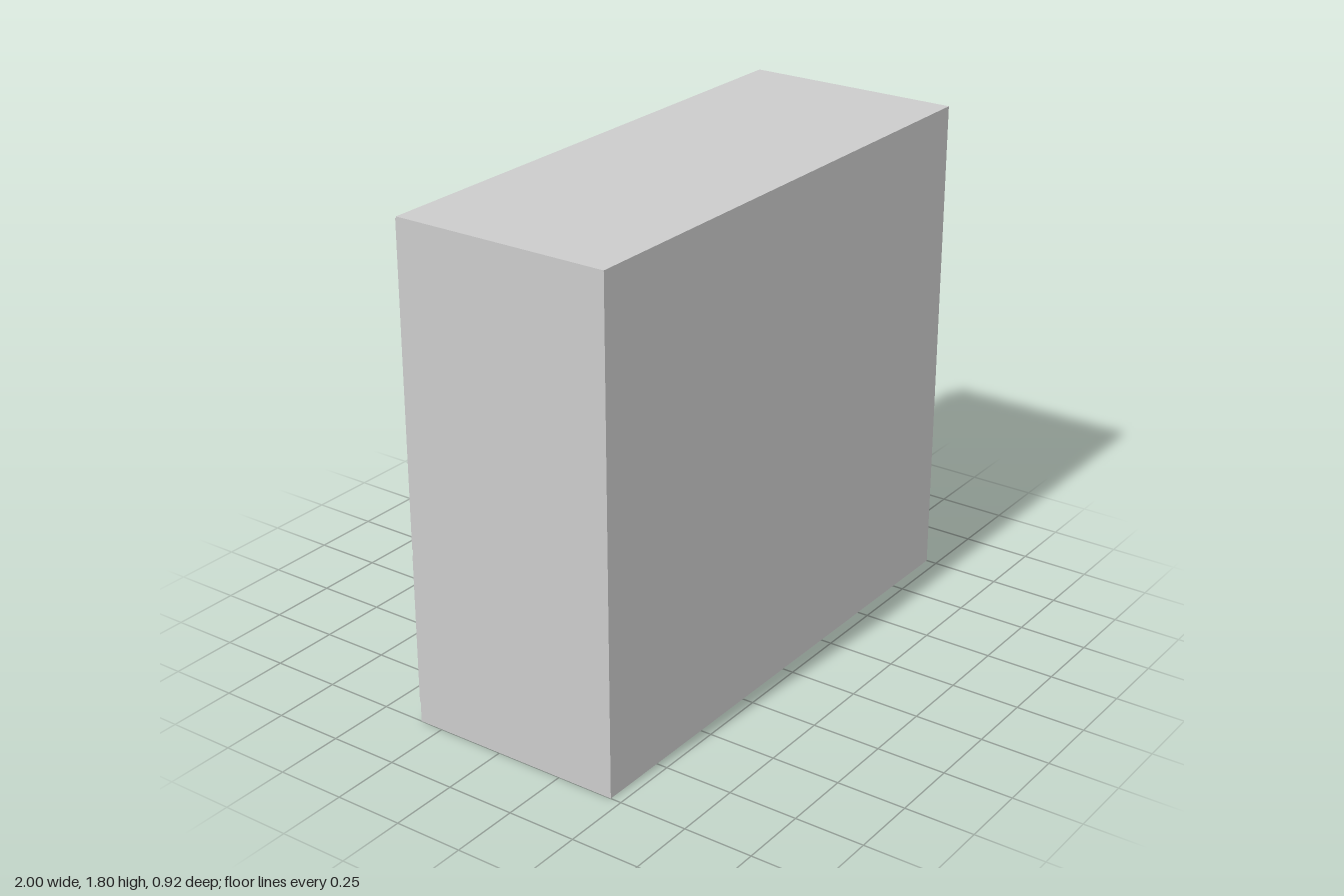
import * as THREE from 'three';

const material = new THREE.MeshStandardMaterial({ color: 0xcccccc, flatShading: true });

// Depth of the slightly slanted drawer face behind the centre, at a given x
const faceDepth = (x) => 0.372 - 0.0088 * x;

// Plan outline of [x, depth towards -z] points, raised from y0 to y1
function raisedPlan(name, points, y0, y1) {
  const shape = new THREE.Shape(points.map(([x, d]) => new THREE.Vector2(x, d)));
  const geometry = new THREE.ExtrudeGeometry(shape, { depth: y1 - y0, bevelEnabled: false });
  geometry.rotateX(-Math.PI / 2).translate(0, y0, 0);
  const mesh = new THREE.Mesh(geometry, material);
  mesh.name = name;
  return mesh;
}

function drawerFront(name, y0, y1) {
  const w = 0.96;
  return raisedPlan(name, [[-w, 0.34], [w, 0.34], [w, faceDepth(w)], [-w, faceDepth(-w)]], y0, y1);
}

// U-shaped pull: two legs and a bar, following the slant of the face
function handle(name, cx, y0, y1) {
  const outer = 0.118, inner = 0.083, reach = 0.082, bar = 0.018;
  const at = (dx, out) => [cx + dx, faceDepth(cx + dx) + out];
  return raisedPlan(name, [
    at(-outer, 0), at(-inner, 0), at(-inner, reach - bar), at(inner, reach - bar),
    at(inner, 0), at(outer, 0), at(outer, reach), at(-outer, reach),
  ], y0, y1);
}

export function createModel() {
  const group = new THREE.Group();
  group.name = 'drawerCabinet';

  // Cabinet body
  const body = new THREE.Mesh(new THREE.BoxGeometry(2, 1.8, 0.8), material);
  body.name = 'cabinetBody';
  body.position.set(0, 0.9, 0.06);
  group.add(body);

  // Drawer fronts
  group.add(drawerFront('upperDrawerFront', 0.622, 1.775));
  group.add(drawerFront('lowerDrawerFront', 0.043, 0.6));

  // Handles, the right-hand pair sitting a little higher
  group.add(handle('upperLeftHandle', 0.578, 1.24, 1.32));
  group.add(handle('upperRightHandle', -0.602, 1.28, 1.36));
  group.add(handle('lowerLeftHandle', 0.578, 0.343, 0.382));
  group.add(handle('lowerRightHandle', -0.602, 0.361, 0.4));

  return group;
}
